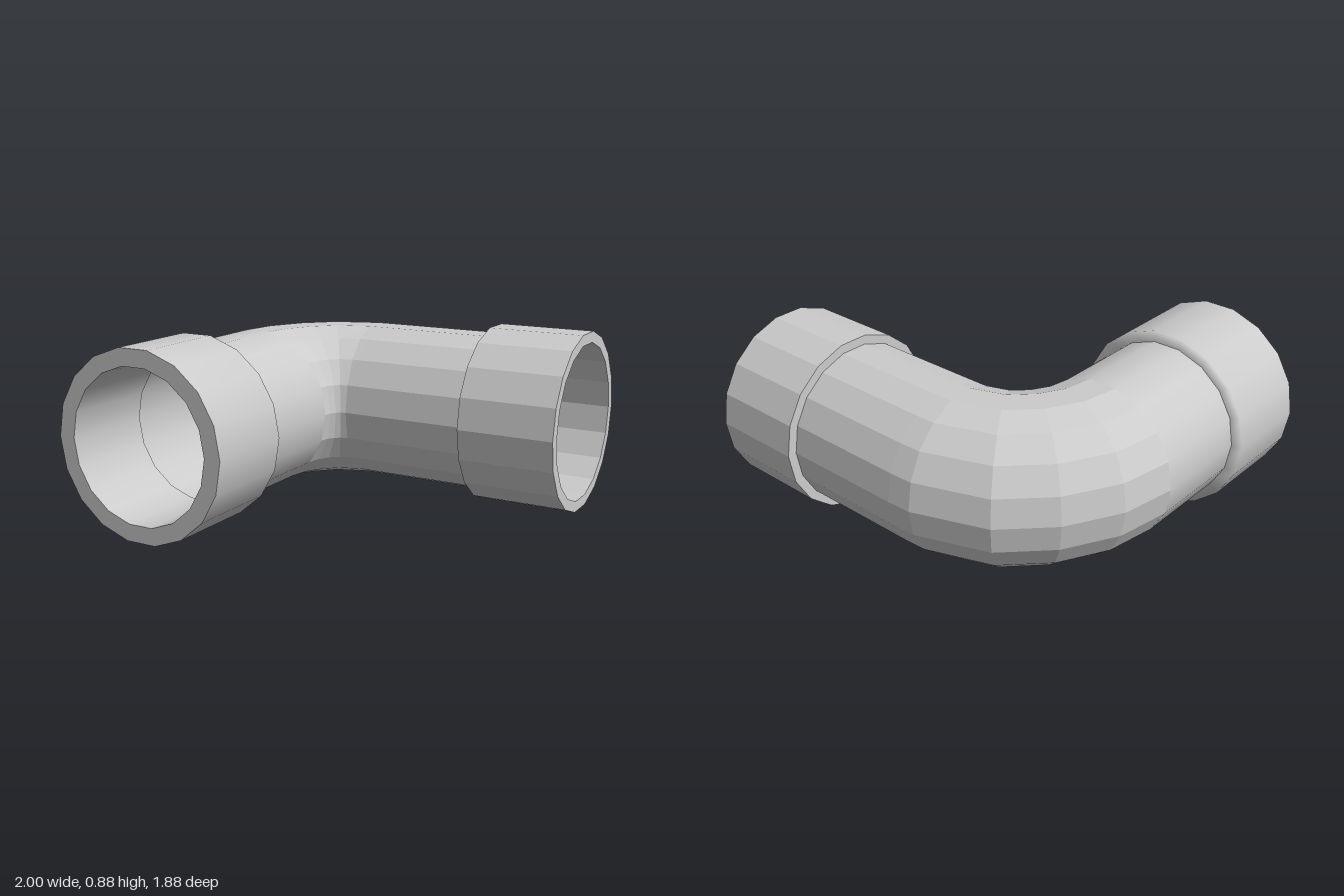
import * as THREE from 'three';

const SIDES = 18;
const AXIS_Y = 0.443;   // height of the pipe centre line
const PIPE_R = 0.394;

const smooth = new THREE.MeshStandardMaterial({ color: 0xcccccc, side: THREE.DoubleSide });
const faceted = new THREE.MeshStandardMaterial({ color: 0xcccccc, side: THREE.DoubleSide, flatShading: true });

// Revolved profile of [radius, distance] points, laid along z or x
function turned(name, points, axis, material) {
  const profile = points.map(([r, d]) => new THREE.Vector2(r, d));
  const geometry = new THREE.LatheGeometry(profile, SIDES, axis === 'z' ? Math.PI / 2 : 0);
  if (axis === 'z') geometry.rotateX(Math.PI / 2);
  else geometry.rotateZ(-Math.PI / 2);
  const mesh = new THREE.Mesh(geometry, material);
  mesh.name = name;
  if (axis === 'z') mesh.position.set(-0.553, AXIS_Y, 0);
  else mesh.position.set(0, AXIS_Y, -0.501);
  return mesh;
}

// Elbow lofted through oval rings, each spanning an outer and an inner [x, z] point
function elbow(rings) {
  const positions = [];
  const index = [];
  for (const [ox, oz, ix, iz] of rings) {
    for (let j = 0; j < SIDES; j++) {
      const a = (j / SIDES) * Math.PI * 2;
      const t = (1 - Math.cos(a)) / 2;
      positions.push(ox + (ix - ox) * t, AXIS_Y + PIPE_R * Math.sin(a), oz + (iz - oz) * t);
    }
  }
  for (let i = 0; i < rings.length - 1; i++) {
    for (let j = 0; j < SIDES; j++) {
      const k = (j + 1) % SIDES;
      const a = i * SIDES + j, b = i * SIDES + k;
      index.push(a, b, a + SIDES, b, b + SIDES, a + SIDES);
    }
  }
  const geometry = new THREE.BufferGeometry();
  geometry.setAttribute('position', new THREE.Float32BufferAttribute(positions, 3));
  geometry.setIndex(index);
  geometry.computeVertexNormals();
  const mesh = new THREE.Mesh(geometry, faceted);
  mesh.name = 'elbow';
  return mesh;
}

export function createModel() {
  const group = new THREE.Group();
  group.name = 'pipeElbow';

  // Front arm: smooth pipe, thick socket and its flat rim
  group.add(turned('frontPipe', [[PIPE_R, -0.02], [PIPE_R, 0.48]], 'z', smooth));
  group.add(turned('frontSocket', [[0.366, 0.48], [0.449, 0.48], [0.449, 0.935]], 'z', smooth));
  group.add(turned('frontRim', [[0.449, 0.935], [0.366, 0.935]], 'z', smooth));
  group.add(turned('frontBore', [[0.366, 0.935], [0.366, 0.48]], 'z', smooth));

  // Quarter bend
  group.add(elbow([
    [-0.947, -0.02, -0.159, -0.02],
    [-0.9, -0.29, -0.153, -0.06],
    [-0.76, -0.55, -0.138, -0.085],
    [-0.55, -0.76, -0.12, -0.1],
    [-0.2, -0.89, -0.095, -0.107],
    [-0.08, -0.895, -0.08, -0.107],
  ]));

  // Side arm: faceted pipe and socket
  group.add(turned('sidePipe', [[PIPE_R, -0.08], [PIPE_R, 0.53]], 'x', faceted));
  group.add(turned('sideSocket',
    [[0.385, 0.53], [0.439, 0.53], [0.439, 1], [0.385, 1], [0.385, 0.53]], 'x', faceted));

  return group;
}
